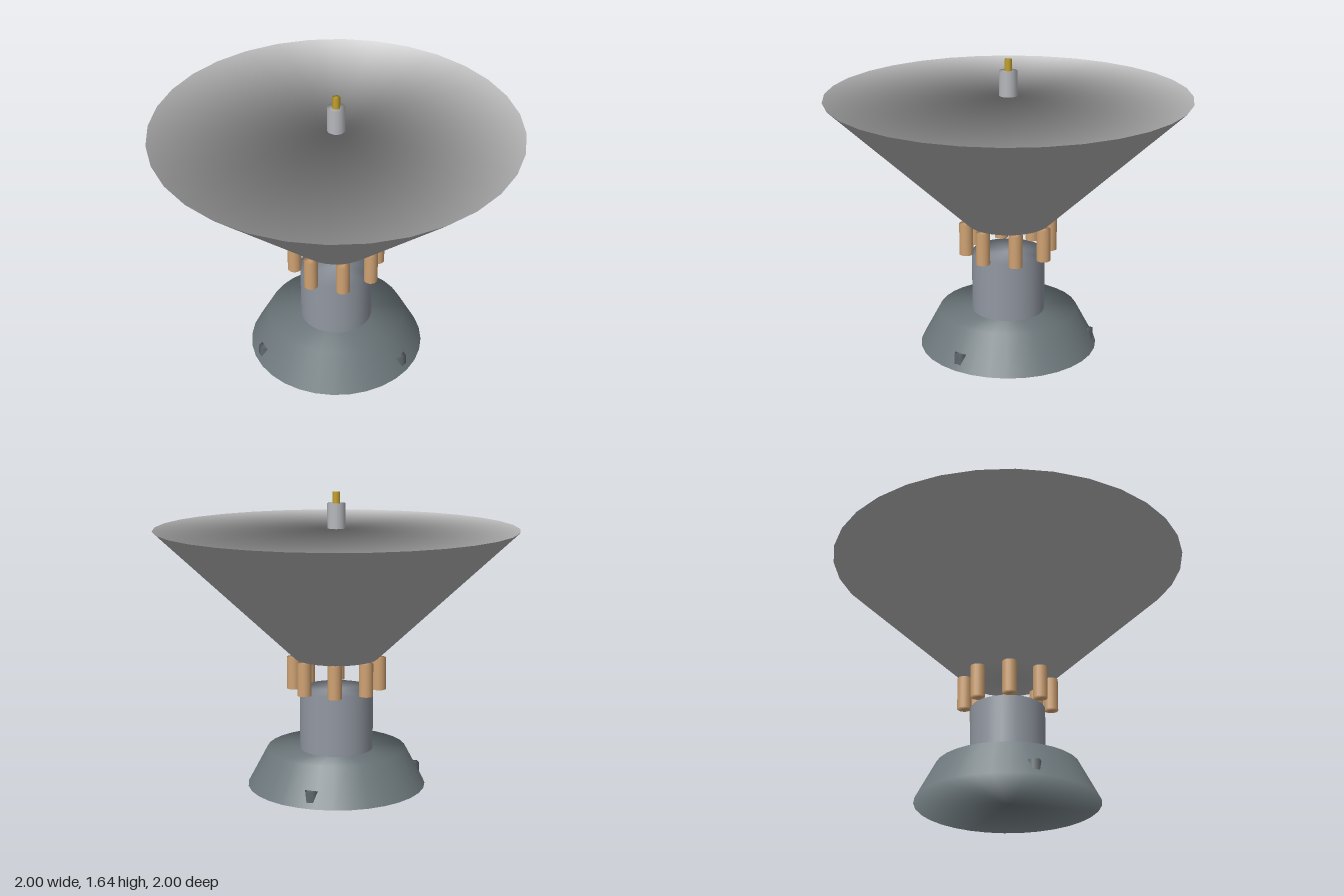
import * as THREE from 'three';

const paint = (name, color) => {
  const m = new THREE.MeshStandardMaterial({ color });
  m.name = name;
  return m;
};

// Closed frustum from y0 to y1; the caps share the smooth normals of the wall
function frustum(name, material, rBottom, rTop, y0, y1, sides) {
  const h = y1 - y0;
  const geo = new THREE.CylinderGeometry(rTop, rBottom, h, sides);
  const pos = geo.attributes.position, nor = geo.attributes.normal;
  const n = new THREE.Vector3();
  for (let i = 0; i < pos.count; i++) {
    const x = pos.getX(i), z = pos.getZ(i), r = Math.hypot(x, z);
    if (r < 1e-5) continue;
    n.set(x / r, (rBottom - rTop) / h, z / r).normalize();
    nor.setXYZ(i, n.x, n.y, n.z);
  }
  const mesh = new THREE.Mesh(geo, material);
  mesh.name = name;
  mesh.position.y = (y0 + y1) / 2;
  return mesh;
}

// Repeats a part evenly around the y axis, starting at +x
function ring(name, count, radius, makePart) {
  const group = new THREE.Group();
  group.name = name;
  for (let i = 0; i < count; i++) {
    const a = (i / count) * Math.PI * 2;
    const part = makePart();
    part.position.x = Math.cos(a) * radius;
    part.position.z = Math.sin(a) * radius;
    group.add(part);
  }
  return group;
}

export function createModel() {
  const baseGrey = paint('base grey', 0x6f7a7e);
  const columnGrey = paint('column grey', 0x9298a2);
  const dishGrey = paint('dish grey', 0xb8b8b8);
  const copper = paint('copper tan', 0xcfa273);
  const feedGrey = paint('feed grey', 0xb6b8bc);
  const gold = paint('gold', 0xc2a02c);
  const boltGrey = paint('bolt grey', 0x636b6f);

  const model = new THREE.Group();
  model.name = 'dishAntenna';

  // Flared foot with three hexagonal bolts sunk into its slope
  model.add(frustum('base', baseGrey, 0.5, 0.39, 0, 0.207, 32));
  model.add(ring('baseBolts', 3, 0.45,
    () => frustum('baseBolt', boltGrey, 0.037, 0.037, 0.01, 0.088, 6)));

  // Column and the ring of posts that carries the dish
  model.add(frustum('column', columnGrey, 0.205, 0.205, 0.207, 0.545, 32));
  model.add(ring('supportPosts', 8, 0.238,
    () => frustum('supportPost', copper, 0.039, 0.039, 0.545, 0.726, 16)));

  // Conical dish with closed top, then the feed and its tip
  model.add(frustum('dish', dishGrey, 0.235, 1, 0.726, 1.446, 32));
  model.add(frustum('feed', feedGrey, 0.05, 0.05, 1.446, 1.583, 16));
  model.add(frustum('feedTip', gold, 0.021, 0.021, 1.583, 1.645, 12));

  return model;
}
